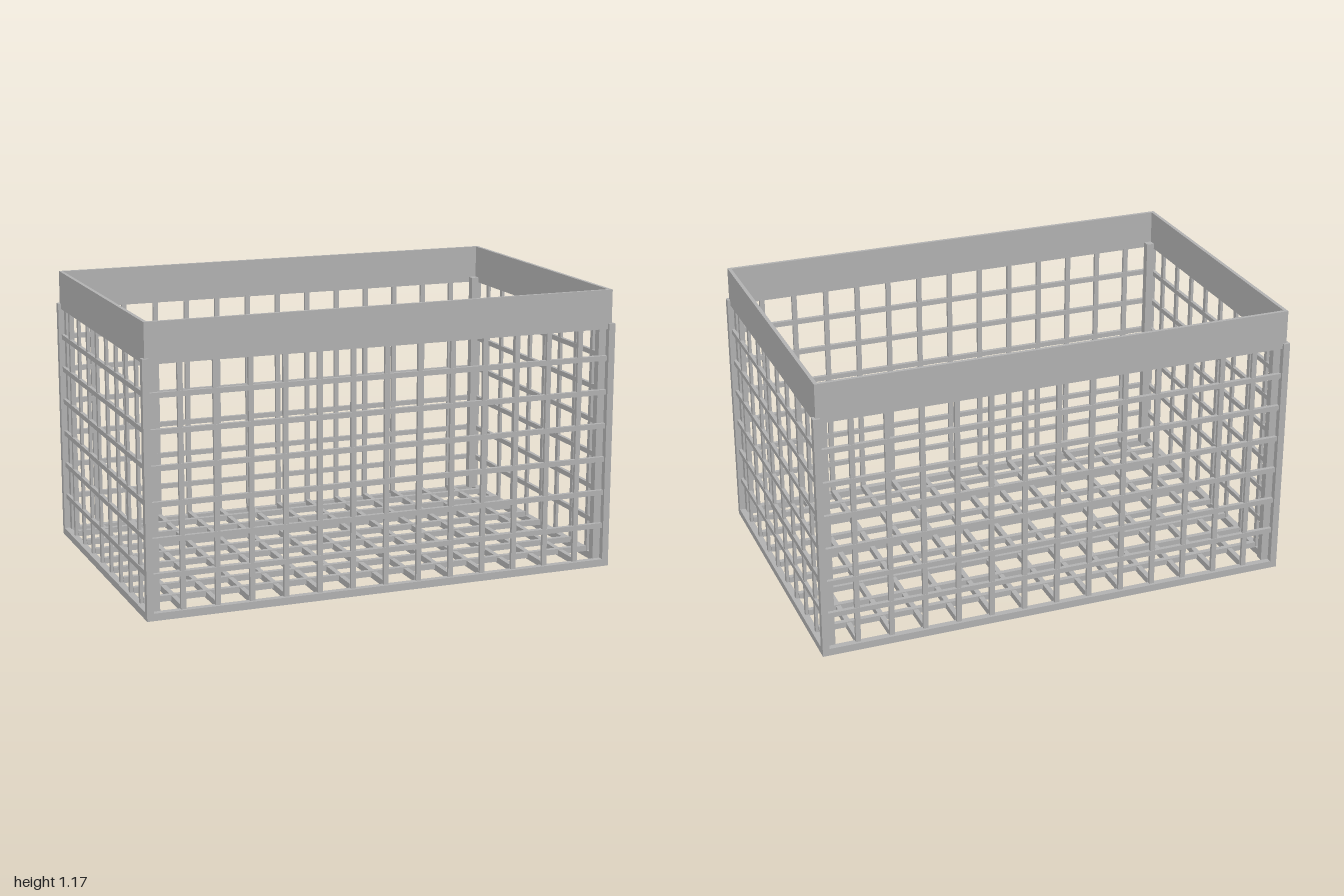
import * as THREE from 'three';

const HX = 1, HZ = 0.648, RAIL = 0.028, BAR = 0.021, PITCH = 0.142;

export function createModel() {
  const grey = new THREE.MeshStandardMaterial({ color: 0xb2b2b2 });
  grey.name = 'light grey';
  const model = new THREE.Group();
  model.name = 'gridBasket';

  // box given by its limits on each axis
  function box(parent, name, [x0, x1], [y0, y1], [z0, z1]) {
    const mesh = new THREE.Mesh(new THREE.BoxGeometry(x1 - x0, y1 - y0, z1 - z0), grey);
    mesh.position.set((x0 + x1) / 2, (y0 + y1) / 2, (z0 + z1) / 2);
    mesh.name = name;
    parent.add(mesh);
  }
  function group(name) {
    const g = new THREE.Group();
    g.name = name;
    model.add(g);
    return g;
  }
  const side = (s, a, b) => (s > 0 ? [a, b] : [-b, -a]);
  const around = (c) => [c - BAR / 2, c + BAR / 2];

  // bar centres
  const xs = [], zs = [], ys = [];
  for (let i = -6; i <= 6; i++) xs.push(i * 0.1415);
  for (let i = -4; i < 4; i++) zs.push((i + 0.5) * PITCH);
  for (let i = 0; i < 6; i++) ys.push(0.174 + i * PITCH);

  const ix = HX - RAIL, iz = HZ - RAIL;
  const posts = group('cornerPosts');
  const rails = group('bottomRails');
  const band = group('topBand');
  const walls = group('wallGrids');
  const floor = group('floorGrid');

  // corner posts: an outer square bar with an inner one behind it
  for (const sx of [-1, 1]) for (const sz of [-1, 1]) {
    box(posts, 'outerPost', side(sx, ix, HX), [0, 1.028], side(sz, iz, HZ));
    box(posts, 'innerPost', side(sx, 0.94, ix + 0.003), [0.03, 1.028], side(sz, 0.59, iz + 0.003));
  }

  for (const s of [-1, 1]) {
    // bottom rails
    box(rails, 'longRail', [-ix, ix], [0, 0.03], side(s, iz, HZ));
    box(rails, 'shortRail', side(s, ix, HX), [0, 0.03], [-iz, iz]);

    // solid band round the top
    box(band, 'longBand', [-0.988, 0.988], [1.005, 1.167], side(s, 0.623, 0.638));
    box(band, 'shortBand', side(s, 0.973, 0.988), [1.005, 1.167], [-0.623, 0.623]);

    // front and back grids
    for (const x of xs) box(walls, 'longWallUpright', around(x), [0.02, 1.01], side(s, 0.622, 0.636));
    for (const y of ys) box(walls, 'longWallBar', [-ix, ix], around(y), side(s, 0.621, 0.638));

    // side grids
    for (const z of zs) box(walls, 'shortWallUpright', side(s, 0.974, 0.986), [0.02, 1.01], around(z));
    for (const y of ys) box(walls, 'shortWallBar', side(s, 0.973, 0.988), around(y), [-iz, iz]);
  }

  // floor grid
  for (const x of xs) box(floor, 'floorCrossBar', around(x), [0.02, 0.046], [-iz, iz]);
  for (const z of zs) box(floor, 'floorLongBar', [-ix, ix], [0.026, 0.05], around(z));

  return model;
}
